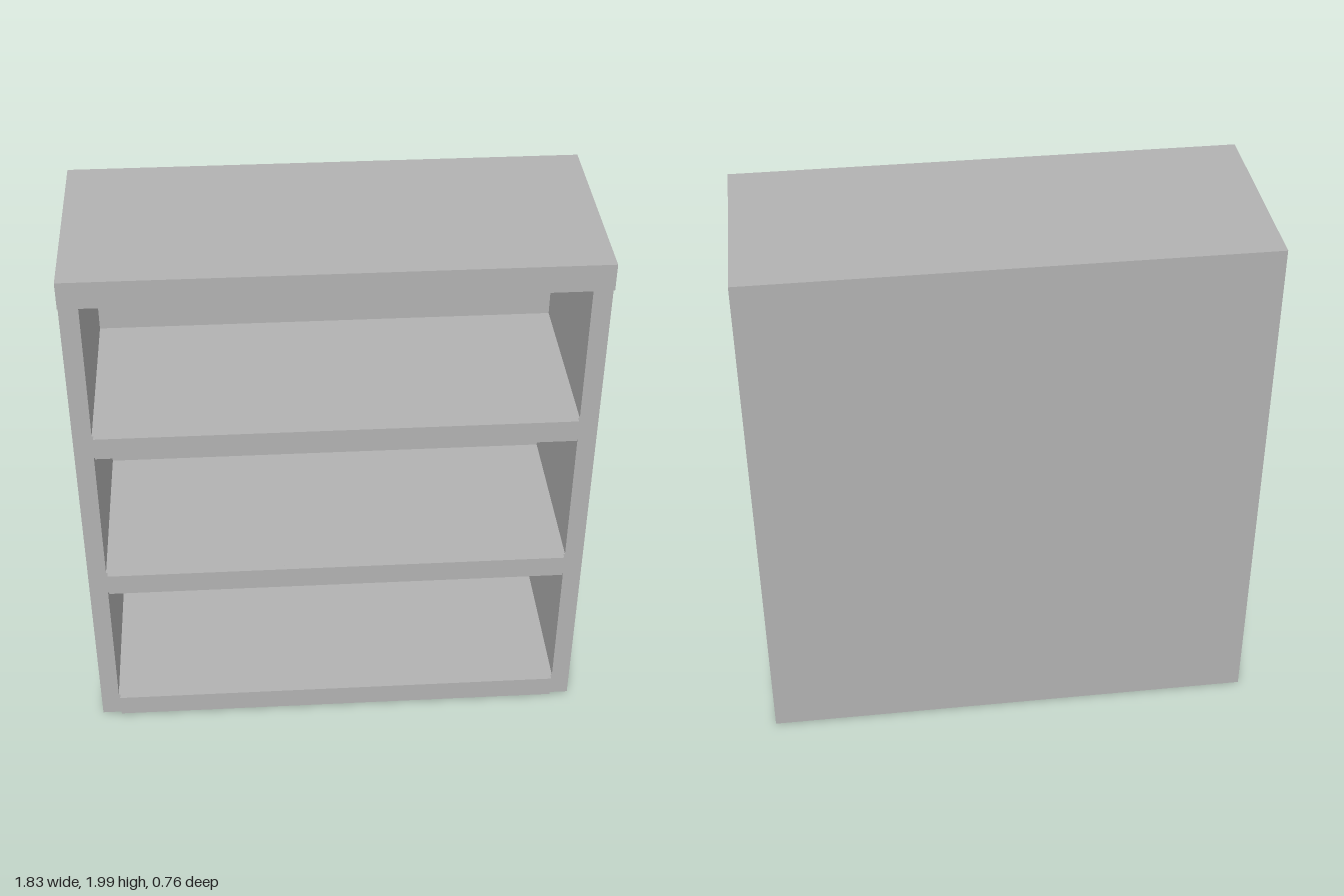
import * as THREE from 'three';

export function createModel() {
  const model = new THREE.Group();
  model.name = 'bookcase';
  const grey = new THREE.MeshStandardMaterial({ color: 0xb2b2b2 });
  grey.name = 'plain grey';

  const halfWidth = 0.917, innerHalf = 0.85;
  const bottom = 0.01, top = 2;
  const back = -0.38, backInner = -0.313, frameFront = 0.36, trimFront = 0.38;
  const pitch = 0.63, shelfThickness = 0.095;

  function addBox(name, halfW, y0, y1, z0, z1) {
    const mesh = new THREE.Mesh(new THREE.BoxGeometry(halfW * 2, y1 - y0, z1 - z0), grey);
    mesh.position.set(0, (y0 + y1) / 2, (z0 + z1) / 2);
    mesh.name = name;
    model.add(mesh);
  }

  function rectangle(path, halfW, y0, y1) {
    path.moveTo(-halfW, y0);
    path.lineTo(halfW, y0);
    path.lineTo(halfW, y1);
    path.lineTo(-halfW, y1);
    path.closePath();
    return path;
  }

  // Sides, top and shelves in one frame with three open compartments
  const outline = rectangle(new THREE.Shape(), halfWidth, bottom, top);
  for (let i = 0; i < 3; i++) {
    const y = bottom + i * pitch;
    outline.holes.push(rectangle(new THREE.Path(), innerHalf, y + shelfThickness, y + pitch));
    // Proud lip along the front of each shelf
    addBox('shelfLip' + (i + 1), 0.844, y + 0.01, y + shelfThickness, frameFront, trimFront);
  }
  const frameGeometry = new THREE.ExtrudeGeometry(outline, {
    depth: frameFront - backInner, bevelEnabled: false,
  });
  const frame = new THREE.Mesh(frameGeometry, grey);
  frame.position.z = backInner;
  frame.name = 'frameWithShelves';
  model.add(frame);

  // Back panel and top front band
  addBox('backPanel', halfWidth, bottom, top, back, backInner);
  addBox('topBand', halfWidth, 1.9, top, frameFront, trimFront);

  return model;
}
